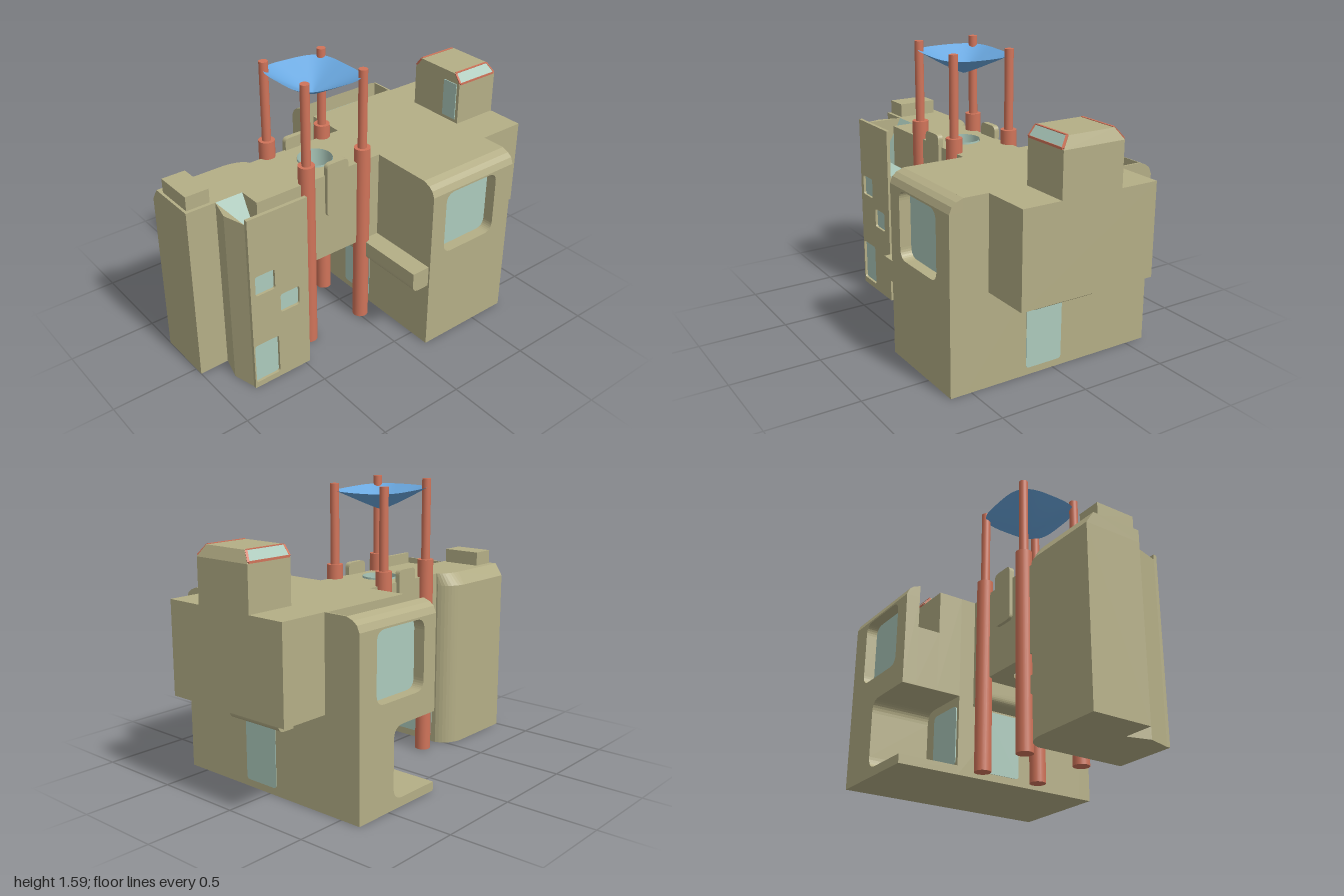
import * as THREE from 'three';

const mat = (name, color) => {
  const m = new THREE.MeshStandardMaterial({ color });
  m.name = name;
  return m;
};

export function createModel() {
  const root = new THREE.Group();
  root.name = 'modularBuilding';
  const olive = mat('olive wall', 0xb4ae86);
  const glass = mat('pale glass', 0xaccabc);
  glass.side = THREE.DoubleSide;
  const red = mat('terracotta', 0xd0745a);
  const blue = mat('blue sail', 0x6aa8e0);
  blue.side = THREE.DoubleSide;

  const add = (name, geo, material) => {
    const m = new THREE.Mesh(geo, material);
    m.name = name;
    root.add(m);
    return m;
  };
  // Box given by its limits on each axis
  const box = (name, x0, x1, y0, y1, z0, z1, material = olive) => {
    const g = new THREE.BoxGeometry(x1 - x0, y1 - y0, z1 - z0);
    g.translate((x0 + x1) / 2, (y0 + y1) / 2, (z0 + z1) / 2);
    return add(name, g, material);
  };
  const poly = (pts) => new THREE.Shape(pts.map(([a, b]) => new THREE.Vector2(a, b)));
  const roundRect = (x0, x1, y0, y1, r, Kind = THREE.Shape) => {
    const s = new Kind();
    s.moveTo(x0 + r, y0);
    s.lineTo(x1 - r, y0).quadraticCurveTo(x1, y0, x1, y0 + r);
    s.lineTo(x1, y1 - r).quadraticCurveTo(x1, y1, x1 - r, y1);
    s.lineTo(x0 + r, y1).quadraticCurveTo(x0, y1, x0, y1 - r);
    s.lineTo(x0, y0 + r).quadraticCurveTo(x0, y0, x0 + r, y0);
    return s;
  };
  const extrude = (shape, depth) =>
    new THREE.ExtrudeGeometry(shape, { depth, bevelEnabled: false, curveSegments: 8 });
  // Extrusions along z (x,y shape), x (z,y shape) and y (x,-z shape)
  const alongZ = (name, shape, z0, z1, m = olive) =>
    add(name, extrude(shape, z1 - z0).translate(0, 0, z0), m);
  const alongX = (name, shape, x0, x1, m = olive) =>
    add(name, extrude(shape, x1 - x0).rotateY(-Math.PI / 2).translate(x1, 0, 0), m);
  const alongY = (name, shape, y0, y1, m = olive) =>
    add(name, extrude(shape, y1 - y0).rotateX(-Math.PI / 2).translate(0, y0, 0), m);
  const quad = (name, pts, m) => {
    const g = new THREE.BufferGeometry();
    g.setAttribute('position', new THREE.Float32BufferAttribute(pts.flat(), 3));
    g.setIndex([0, 1, 2, 0, 2, 3]);
    g.computeVertexNormals();
    return add(name, g, m);
  };
  const bar = (name, a, b, t, m) => {
    const p = new THREE.Vector3(...a), q = new THREE.Vector3(...b);
    const mesh = add(name, new THREE.BoxGeometry(t, t, p.distanceTo(q)), m);
    mesh.position.copy(p).add(q).multiplyScalar(0.5);
    mesh.lookAt(q);
  };

  // Main block: core, roof trough and back service strip
  box('mainCore', 0.13, 0.72, 0, 1.03, -0.27, 0.54);
  box('mainCoreBack', 0.13, 0.72, 0.45, 1.03, -0.41, -0.27);
  box('troughFloor', 0.13, 0.72, 0.45, 0.78, -0.54, -0.41);
  box('troughEnd', 0.71, 0.72, 0.78, 1.03, -0.54, -0.41);

  // Front and back slabs with big rounded windows and rounded top edges
  for (const s of [1, -1]) {
    const y0 = s > 0 ? 0 : 0.45;
    const wall = poly([[0.13, y0], [0.72, y0], [0.72, 0.96], [0.13, 0.96]]);
    wall.holes.push(roundRect(0.225, 0.595, 0.575, 0.95, 0.06, THREE.Path));
    alongZ('windowWall', wall, s > 0 ? 0.54 : -0.62, s > 0 ? 0.62 : -0.54);
    const edge = [[0.54, 0.96], [0.62, 0.96], [0.605, 0.995], [0.58, 1.015], [0.54, 1.03]];
    alongX('roundedTopEdge', poly(edge.map(([z, y]) => [z * s, y])), 0.13, 0.72);
    box('largeWindow', 0.22, 0.6, 0.57, 0.955, s * 0.552 - 0.004, s * 0.552 + 0.004, glass);
  }

  // Back corner porch with rounded inner corners
  const porch = new THREE.Shape();
  porch.moveTo(0.13, 0);
  porch.lineTo(0.72, 0).lineTo(0.72, 0.45).lineTo(0.13, 0.45).lineTo(0.13, 0.44).lineTo(0.39, 0.44);
  porch.quadraticCurveTo(0.46, 0.44, 0.46, 0.37).lineTo(0.46, 0.12);
  porch.quadraticCurveTo(0.46, 0.05, 0.39, 0.05).lineTo(0.13, 0.05);
  alongZ('porch', porch, -0.62, -0.27);
  alongZ('porchDoor', roundRect(0.15, 0.38, 0.06, 0.39, 0.03), -0.275, -0.267, glass);

  // Side wing with roof room
  box('sideWing', 0.72, 1, 0.52, 1.03, -0.4, 0.4);
  box('roofRoom', 0.72, 1, 1.03, 1.27, -0.18, 0.18);
  const cap = new THREE.BoxGeometry(0.28, 0.06, 0.36).translate(0.86, 1.3, 0).toNonIndexed();
  const cp = cap.attributes.position;
  for (let i = 0; i < cp.count; i++) {
    if (cp.getY(i) < 1.3) continue;
    cp.setZ(i, Math.sign(cp.getZ(i)) * 0.135);
    if (cp.getX(i) > 0.9) cp.setX(i, 0.975);
  }
  cap.computeVertexNormals();
  add('roofCap', cap, olive);
  box('roofRoomDoor', 0.715, 0.722, 1.05, 1.27, 0.06, 0.16, glass);
  for (const s of [1, -1]) {
    const c = [[0.726, 1.277, s * 0.178], [0.992, 1.277, s * 0.178],
      [0.968, 1.327, s * 0.138], [0.726, 1.327, s * 0.138]];
    quad('skylight', c.map(([x, y, z]) => [x, y + 0.004, z + s * 0.004]), glass);
    c.forEach((p, i) => bar('skylightFrame', p, c[(i + 1) % 4], 0.012, red));
  }

  // Door canopies with a rounded lower edge: d is the outward direction
  const canopy = (x, w, y0, y1, z0, z1, d) => {
    const s = new THREE.Shape();
    s.moveTo(x, y0);
    s.lineTo(x + d * (w - 0.045), y0);
    s.quadraticCurveTo(x + d * w, y0, x + d * w, y0 + 0.045);
    s.lineTo(x + d * w, y1).lineTo(x, y1);
    alongZ('doorCanopy', s, z0, z1);
  };
  canopy(0.72, 0.105, 0.4, 0.52, -0.18, 0.18, 1);
  canopy(0.13, 0.11, 0.4, 0.52, -0.18, 0.61, -1);
  canopy(-0.47, 0.08, 0.29, 0.4, -0.18, 0.18, 1);
  alongX('sideDoor', roundRect(-0.05, 0.17, 0.04, 0.39, 0.02), 0.716, 0.723, glass);
  alongX('passageDoor', roundRect(-0.1, 0.12, 0.04, 0.39, 0.02), 0.127, 0.134, glass);
  alongX('towerSideDoor', roundRect(-0.16, 0.14, 0.04, 0.28, 0.02), -0.474, -0.467, glass);

  // Bridge with a round light well and upright panels
  const deck = poly([[-0.47, -0.18], [0.13, -0.18], [0.13, 0.18], [-0.47, 0.18]]);
  deck.holes.push(new THREE.Path().absarc(-0.17, 0, 0.1, 0, Math.PI * 2, true));
  alongY('bridge', deck, 0.52, 1.03);
  const well = new THREE.CylinderGeometry(0.097, 0.097, 0.5, 32, 1, true);
  add('lightWellGlass', well.translate(-0.17, 0.79, 0), glass);
  for (const z of [-0.2, 0.17])
    alongZ('bridgePanel', roundRect(-0.24, -0.1, 0.78, 1.1, 0.03), z, z + 0.03);

  // Left tower: rear part with rounded corner and sloping top back edge
  const rear = new THREE.Shape();
  rear.moveTo(-1, -0.05);
  rear.lineTo(-0.47, -0.05).lineTo(-0.47, 0.19);
  rear.quadraticCurveTo(-0.5, 0.275, -0.6, 0.285).lineTo(-1, 0.285);
  alongY('towerRear', rear, 0, 0.96);
  const rim = alongY('towerRearRim', rear, 0.96, 1.03).geometry;
  const rp = rim.attributes.position;
  for (let i = 0; i < rp.count; i++) {
    const k = THREE.MathUtils.clamp((-0.17 - rp.getZ(i)) / 0.115, 0, 1);
    if (rp.getY(i) > 1) rp.setZ(i, rp.getZ(i) + 0.045 * k);
  }
  rim.computeVertexNormals();
  box('roofBox', -0.985, -0.85, 1.03, 1.11, -0.2, 0.03);

  // Left tower: front part, angled side, sunken glazed terrace
  alongY('towerFront', poly([[-0.83, -0.05], [-0.865, -0.18], [-0.83, -0.31], [-0.47, -0.31],
    [-0.47, -0.05]]), 0, 0.78);
  alongY('angledParapet', poly([[-0.83, -0.05], [-0.865, -0.18], [-0.83, -0.31]]), 0.78, 1.03);
  box('terraceBlock', -0.67, -0.47, 0.78, 1.03, 0.05, 0.18);
  box('terraceGlass', -0.83, -0.47, 0.78, 0.788, 0.18, 0.31, glass);
  quad('slopedGlass', [[-0.83, 0.785, 0.18], [-0.67, 0.785, 0.18],
    [-0.67, 1.03, 0.05], [-0.83, 1.03, 0.05]], glass);

  // Tower front wall with recessed small windows and door
  const front = poly([[-0.83, 0], [-0.47, 0], [-0.47, 1.06], [-0.83, 1.06]]);
  for (const [x0, x1, y0, y1] of [[-0.8, -0.68, 0.595, 0.715], [-0.65, -0.53, 0.425, 0.54],
    [-0.822, -0.67, 0.035, 0.28]]) {
    front.holes.push(roundRect(x0, x1, y0, y1, 0.015, THREE.Path));
    box('towerWindow', x0, x1, y0, y1, 0.308, 0.315, glass);
  }
  alongZ('towerFrontWall', front, 0.31, 0.33);

  // Four columns in two stages
  for (const [x, low, high] of [[-0.353, 1.13, 1.585], [0.02, 1.11, 1.562]])
    for (const z of [-0.185, 0.17]) {
      const a = new THREE.CylinderGeometry(0.045, 0.045, low, 24).translate(x, low / 2, z);
      const h = high - low;
      const b = new THREE.CylinderGeometry(0.025, 0.025, h, 24).translate(x, low + h / 2, z);
      add('columnBase', a, red);
      add('columnTop', b, red);
    }

  // Sagging sail: a disc stretched to a soft square and pulled down at the middle
  const sail = new THREE.RingGeometry(0.001, 1, 48, 10).rotateX(-Math.PI / 2);
  const sp = sail.attributes.position;
  for (let i = 0; i < sp.count; i++) {
    const x = sp.getX(i), z = sp.getZ(i), t = Math.hypot(x, z);
    const c = Math.abs(x / t), d = Math.abs(z / t);
    const r = 0.22 / Math.pow(c ** 3.6 + d ** 3.6, 1 / 3.6);
    const y = 1.415 + 0.115 * Math.pow(t, 1.15) - 0.012 * x * t;
    sp.setXYZ(i, -0.17 + x * r, y, -0.01 + z * r);
  }
  sail.computeVertexNormals();
  add('sail', sail, blue);

  return root;
}
